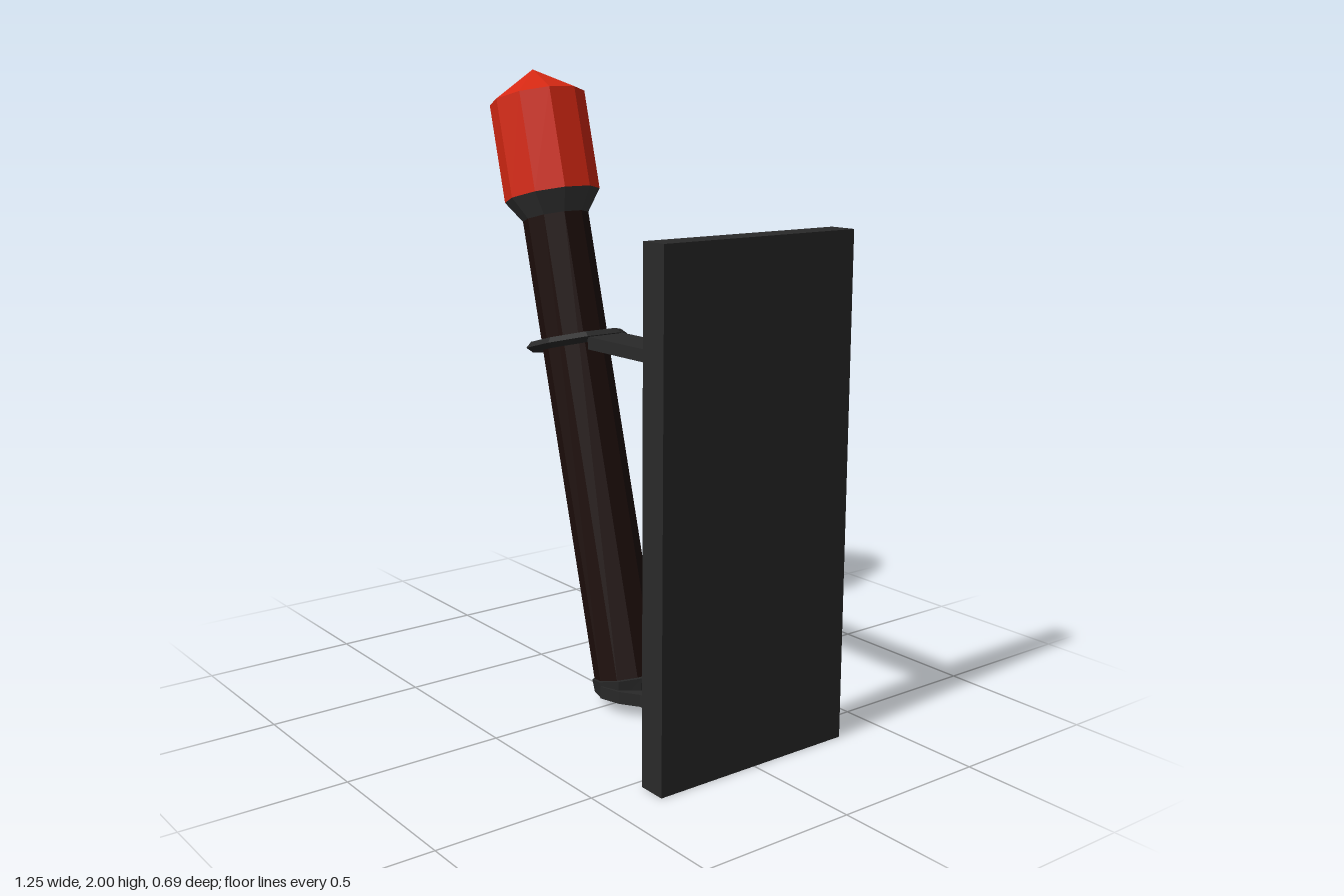
import * as THREE from 'three';

const mat = (color) => new THREE.MeshStandardMaterial({ color, flatShading: true });
const iron = mat(0x292929), steel = mat(0x393939), wood = mat(0x1d0e0b), red = mat(0xd42813);

function add(parent, name, geometry, material, x = 0, y = 0, z = 0) {
  const mesh = new THREE.Mesh(geometry, material);
  mesh.name = name;
  mesh.position.set(x, y, z);
  parent.add(mesh);
  return mesh;
}

export function createModel() {
  const model = new THREE.Group();
  model.name = 'wallTorch';

  // wall plate and the two arms reaching out from it
  add(model, 'wallPlate', new THREE.BoxGeometry(0.09, 1.55, 0.69), iron, 0.575, 0.775, 0);
  add(model, 'upperArm', new THREE.BoxGeometry(0.66, 0.04, 0.135), iron, 0.205, 1.16, -0.007);
  add(model, 'lowerArm', new THREE.BoxGeometry(0.41, 0.04, 0.135), iron, 0.33, 0.06, -0.007);

  // flared neck between the lower arm and the cup
  const neck = new THREE.Shape([
    [0.02, -0.12], [0.09, -0.1], [0.15, -0.06], [0.15, 0.074], [0.09, 0.1], [0.02, 0.12],
  ].map(([x, y]) => new THREE.Vector2(x, y)));
  const neckGeo = new THREE.ExtrudeGeometry(neck, { depth: 0.04, bevelEnabled: false });
  neckGeo.rotateX(-Math.PI / 2);
  add(model, 'lowerNeck', neckGeo, iron, 0, 0.04, 0);

  // cup: flat underneath, with its rim sloped to suit the leaning shaft
  const cupGeo = new THREE.CylinderGeometry(0.12, 0.112, 1, 10);
  const p = cupGeo.attributes.position;
  for (let i = 0; i < p.count; i++) {
    const x = p.getX(i);
    p.setY(i, p.getY(i) > 0 ? 0.092 + 0.26 * x : 0.035 + 0.045 * x);
  }
  cupGeo.computeVertexNormals();
  add(model, 'lowerCup', cupGeo, iron, 0.013, 0, 0);

  // leaning torch, built upright along its own axis
  const torch = new THREE.Group();
  torch.name = 'torch';
  torch.position.set(0.01, 0.055, 0);
  torch.rotation.z = Math.PI / 12;
  model.add(torch);

  add(torch, 'shaft', new THREE.CylinderGeometry(0.107, 0.107, 1.54, 10), wood, 0, 0.77, 0);
  add(torch, 'headCollar', new THREE.CylinderGeometry(0.155, 0.107, 0.07, 10), steel, 0, 1.565, 0);
  add(torch, 'head', new THREE.CylinderGeometry(0.155, 0.155, 0.32, 10), red, 0, 1.76, 0);
  add(torch, 'headTip', new THREE.ConeGeometry(0.155, 0.094, 10, 1, true), red, 0, 1.967, 0);

  // eight-sided holding ring with a pointed outer edge
  const section = [
    [0.128, -0.015], [0.15, -0.017], [0.168, 0], [0.15, 0.017], [0.128, 0.015], [0.128, -0.015],
  ].map(([r, y]) => new THREE.Vector2(r, y));
  add(torch, 'holdingRing', new THREE.LatheGeometry(section, 8, Math.PI / 8), iron, 0.012, 1.123, 0);

  return model;
}
